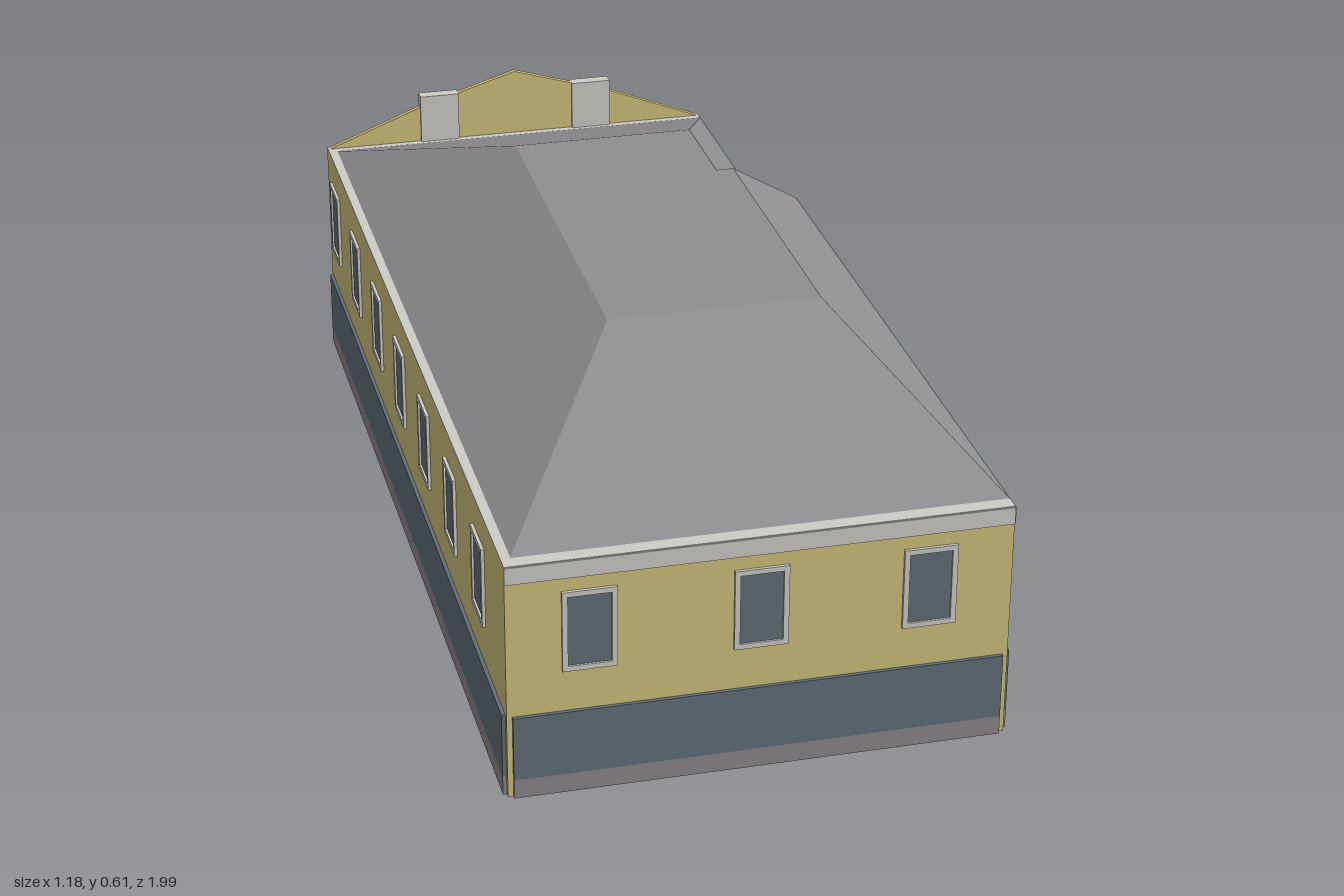
import * as THREE from 'three';

const mat = (name, color) => {
  const m = new THREE.MeshStandardMaterial({ color });
  m.name = name;
  return m;
};

export function createModel() {
  const wall = mat('ochre wall', 0xcfc079);
  const slate = mat('slate blue', 0x636f78);
  const stone = mat('base stone', 0x8d868a);
  const trim = mat('pale trim', 0xcdccc7);
  const roofGrey = mat('roof grey', 0x918e91);

  const model = new THREE.Group();
  model.name = 'house';
  const house = new THREE.Group();
  house.name = 'building';
  house.rotation.y = 0.1414; // the house stands slightly turned
  model.add(house);

  const add = (parent, name, geometry, material) => {
    const mesh = new THREE.Mesh(geometry, material);
    mesh.name = name;
    parent.add(mesh);
    return mesh;
  };
  // box given by its ranges on each axis
  const box = (parent, name, material, x0, x1, y0, y1, z0, z1) => {
    const mesh = add(parent, name, new THREE.BoxGeometry(x1 - x0, y1 - y0, z1 - z0), material);
    mesh.position.set((x0 + x1) / 2, (y0 + y1) / 2, (z0 + z1) / 2);
    return mesh;
  };

  const W = -0.457, E = 0.455, N = 0.372; // west, east and notched east walls
  const F = 0.934, B = -0.95, S = -0.452; // front, back and step of the notch
  const H = 0.46;

  // walls: footprint with a notch at one back corner
  const plan = new THREE.Shape(
    [[W, F], [E, F], [E, S], [N, S], [N, B], [W, B]].map(([x, z]) => new THREE.Vector2(x, -z)));
  const walls = new THREE.ExtrudeGeometry(plan, { depth: H, bevelEnabled: false });
  walls.rotateX(-Math.PI / 2);
  add(house, 'walls', walls, wall);

  // hipped roof with a flat top
  const eaves = [[W + 0.016, 0.907], [E, 0.907], [E, S], [N, S], [N, -0.925], [W + 0.016, -0.925]];
  const ridge = [[-0.136, 0.336], [0.275, 0.336], [0.275, -0.295], [0.24, -0.295], [0.24, -0.515], [-0.13, -0.515]];
  const low = eaves.map(([x, z]) => [x, H + 0.001, z]);
  const high = ridge.map(([x, z]) => [x, 0.61, z]);
  const tris = [];
  for (let i = 0; i < 6; i++) {
    const j = (i + 1) % 6;
    tris.push(low[i], low[j], high[j], low[i], high[j], high[i]);
  }
  for (const [a, b] of [[4, 5], [5, 0], [0, 1], [1, 2]]) tris.push(high[3], high[a], high[b]);
  const roof = new THREE.BufferGeometry();
  roof.setAttribute('position', new THREE.Float32BufferAttribute(tris.flat(), 3));
  roof.computeVertexNormals();
  add(house, 'roof', roof, roofGrey);

  // pale rim around the roof foot
  box(house, 'rimFront', trim, W, E, H - 0.002, H + 0.002, 0.905, F);
  box(house, 'rimBack', trim, W, N, H - 0.002, H + 0.002, B, -0.923);
  box(house, 'rimWest', trim, W, W + 0.018, H - 0.002, H + 0.002, -0.923, 0.905);

  // framed window on a facade, z pointing outwards
  const addWindow = (parent, x, y, w, h, z = 0) => {
    const group = new THREE.Group();
    group.name = 'window';
    group.position.set(x, y, z);
    parent.add(group);
    const rim = 0.01;
    const rect = (T, a, b) => new T([[-a, -b], [a, -b], [a, b], [-a, b]].map(p => new THREE.Vector2(...p)));
    const shape = rect(THREE.Shape, w / 2, h / 2);
    shape.holes.push(rect(THREE.Path, w / 2 - rim, h / 2 - rim));
    add(group, 'windowFrame', new THREE.ExtrudeGeometry(shape, { depth: 0.006, bevelEnabled: false }), trim);
    box(group, 'windowPane', slate, -w / 2 + rim, w / 2 - rim, -h / 2 + rim, h / 2 - rim, 0, 0.002);
  };

  // one facade: plinth, stone foot, cornice band and a row of windows
  const facade = (name, x, z, turn, x0, x1, windows, { top = 0.163, foot = 0.037, band = true } = {}) => {
    const group = new THREE.Group();
    group.name = name;
    group.position.set(x, 0, z);
    group.rotation.y = turn;
    house.add(group);
    const gap = 0.01, out = 0.007;
    box(group, 'plinth', slate, x0 + gap, x1 - gap, foot, top, 0, out);
    if (foot) box(group, 'stoneFoot', stone, x0 + gap, x1 - gap, 0, foot, 0, out);
    if (band) box(group, 'corniceBand', trim, x0, x1, 0.427, H, 0, 0.002);
    for (const wx of windows) addWindow(group, wx, 0.323, 0.098, 0.157);
    return group;
  };
  const row = (start, step, n) => Array.from({ length: n }, (_, i) => start + step * i);
  const Q = Math.PI / 2;
  facade('frontFacade', 0, F, 0, W, E, row(-0.309, 0.306, 3));
  facade('eastFacade', E, 0, Q, -F, -S, row(-0.8, 0.278, 5));
  facade('notchFacade', N, 0, Q, -S, -B, row(0.573, 0.249, 2));
  facade('westFacade', W, 0, -Q, B, F, row(-0.848, 0.26, 7), { band: false });
  const back = facade('backFacade', 0, B, 2 * Q, -N, -W, row(-0.237, 0.279, 3), { top: 0.21, foot: 0 });

  // back ledge, gable and its two small windows
  box(back, 'ledge', trim, -N, -W, 0.215, 0.24, 0, 0.007);
  const mid = -(N + W) / 2, half = (N - W) / 2;
  const gable = new THREE.Shape([[-half, H], [half, H], [0.21, 0.54], [0, 0.604], [-0.21, 0.54]]
    .map(([x, y]) => new THREE.Vector2(mid + x, y)));
  const gableMesh = add(back, 'gable', new THREE.ExtrudeGeometry(gable, { depth: 0.012, bevelEnabled: false }), wall);
  gableMesh.position.z = -0.012;
  for (const s of [-1, 1]) {
    const x = mid + s * 0.168;
    box(back, 'gableWindowBox', trim, x - 0.042, x + 0.042, 0.455, 0.566, -0.018, 0.002);
    addWindow(back, x, 0.5105, 0.084, 0.111, 0.002);
  }
  return model;
}
